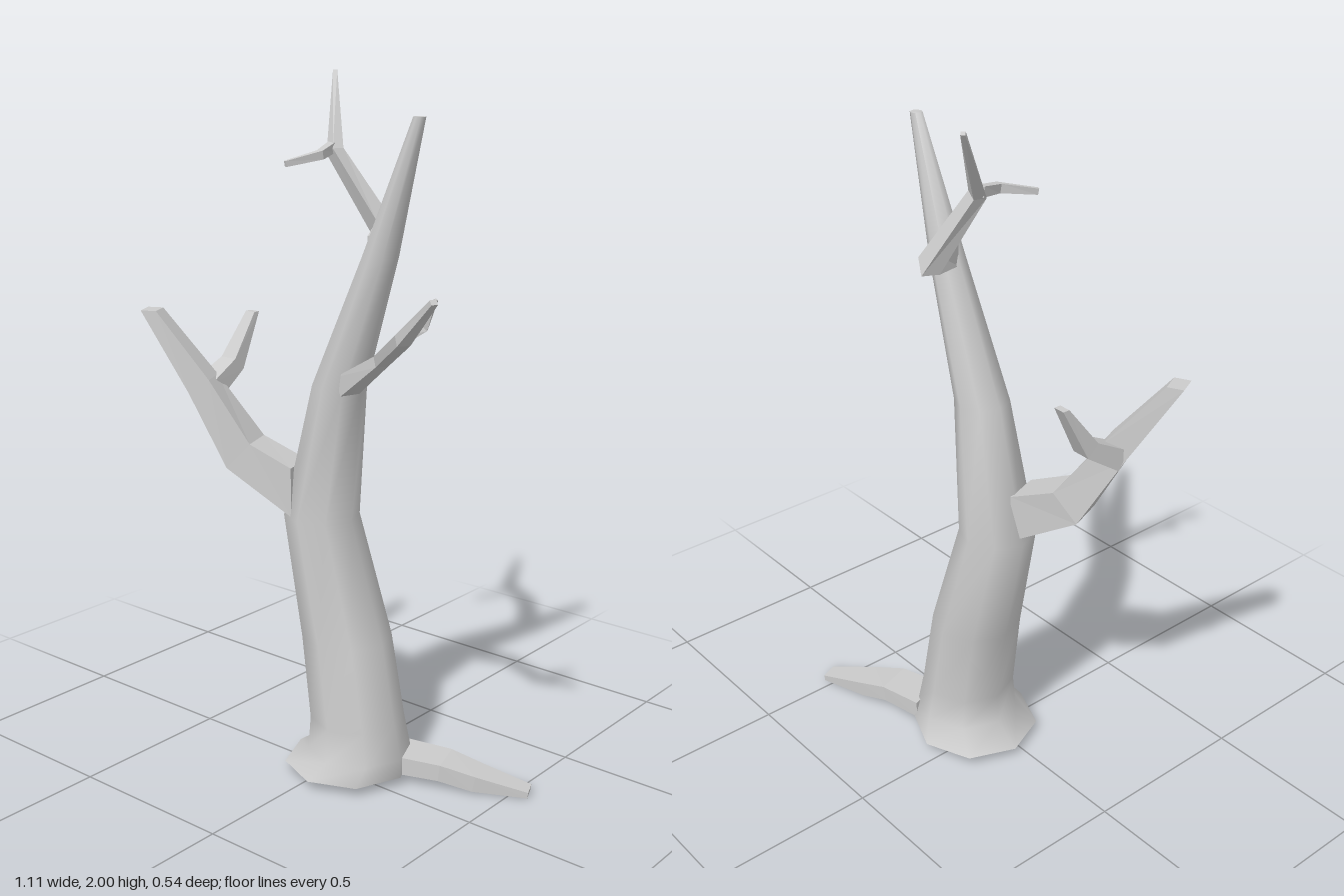
import * as THREE from 'three';
import { toCreasedNormals } from 'three/addons/utils/BufferGeometryUtils.js';

const bark = new THREE.MeshStandardMaterial({ color: 0xcccccc });
const barkFlat = new THREE.MeshStandardMaterial({ color: 0xcccccc, flatShading: true });

// Moves each ring of a capped unit prism to the place given by place(ringIndex, x, z).
function sweep(count, sides, start, place) {
  const geo = new THREE.CylinderGeometry(1, 1, 1, sides, count - 1, false, start);
  const pos = geo.attributes.position;
  for (let i = 0; i < pos.count; i++) {
    const ring = Math.round((pos.getY(i) + 0.5) * (count - 1));
    const p = place(ring, pos.getX(i), pos.getZ(i));
    pos.setXYZ(i, p.x, p.y, p.z);
  }
  return geo;
}

// Trunk: level octagonal rings, each [x, y, radius].
function makeTrunk(rings, z) {
  const geo = sweep(rings.length, 8, 0, (i, u, v) => {
    const [x, y, r] = rings[i];
    return new THREE.Vector3(x + u * r, y, z + v * r);
  });
  const mesh = new THREE.Mesh(toCreasedNormals(geo, 1.2), bark);
  mesh.name = 'trunk';
  return mesh;
}

// Limb: four-sided sections, each [x, y, z, halfWidth, halfHeight, pitch of the cut in degrees (optional)].
function makeLimb(name, stations) {
  const pts = stations.map(s => new THREE.Vector3(s[0], s[1], s[2]));
  const dir = i => pts[i + 1].clone().sub(pts[i]).normalize();
  const last = pts.length - 1;
  const frames = pts.map((p, i) => {
    const t = dir(Math.min(i, last - 1));
    if (i > 0 && i < last) t.add(dir(i - 1)).normalize();
    const side = new THREE.Vector3(-t.z, 0, t.x).normalize();
    const pitch = stations[i][5];
    if (pitch !== undefined) {
      const a = THREE.MathUtils.degToRad(pitch);
      t.set(side.z * Math.cos(a), Math.sin(a), -side.x * Math.cos(a));
    }
    return { side, up: side.clone().cross(t) };
  });
  const geo = sweep(pts.length, 4, Math.PI / 4, (i, u, v) =>
    pts[i].clone()
      .addScaledVector(frames[i].side, u * Math.SQRT2 * stations[i][3])
      .addScaledVector(frames[i].up, v * Math.SQRT2 * stations[i][4]));
  const mesh = new THREE.Mesh(geo.toNonIndexed(), barkFlat);
  mesh.name = name;
  return mesh;
}

export function createModel() {
  const tree = new THREE.Group();
  tree.name = 'bareTree';

  tree.add(makeTrunk([
    [0.04, 0.03, 0.19], [0.078, 0.085, 0.15], [0.07, 0.18, 0.137], [0.03, 0.42, 0.13],
    [-0.065, 0.77, 0.109], [0.0, 1.16, 0.077], [0.14, 1.53, 0.05], [0.263, 1.9, 0.017],
  ], -0.038));

  // Low right limb with its side shoot
  tree.add(makeLimb('lowerBranch', [
    [-0.12, 0.845, 0, 0.055, 0.072, 0], [-0.28, 0.935, 0.05, 0.055, 0.053],
    [-0.39, 1.13, 0.105, 0.042, 0.037], [-0.525, 1.34, 0.17, 0.03, 0.023, 90],
  ]));
  tree.add(makeLimb('lowerShoot', [
    [-0.395, 1.11, 0.08, 0.037, 0.03], [-0.392, 1.17, -0.02, 0.028, 0.024],
    [-0.392, 1.31, -0.108, 0.017, 0.01, 90],
  ]));

  // Thin left limb with its twig
  tree.add(makeLimb('middleBranch', [
    [0.05, 1.17, -0.01, 0.03, 0.028], [0.21, 1.27, 0.045, 0.018, 0.015],
    [0.395, 1.375, 0.195, 0.018, 0.015], [0.533, 1.495, 0.257, 0.009, 0.007],
  ]));
  tree.add(makeLimb('middleTwig', [
    [0.39, 1.375, 0.195, 0.011, 0.011], [0.428, 1.405, 0.15, 0.01, 0.01],
    [0.465, 1.48, 0.155, 0.004, 0.004],
  ]));

  // Crooked upper limb with its twig
  tree.add(makeLimb('upperBranch', [
    [0.125, 1.55, -0.05, 0.03, 0.033, 0], [0.02, 1.585, -0.195, 0.024, 0.026],
    [-0.09, 1.79, -0.125, 0.018, 0.017], [-0.205, 1.998, -0.263, 0.006, 0.005],
  ]));
  tree.add(makeLimb('upperTwig', [
    [-0.1, 1.8, -0.125, 0.012, 0.014], [-0.075, 1.785, -0.045, 0.011, 0.012],
    [-0.117, 1.765, 0.05, 0.006, 0.008],
  ]));

  // Exposed root running out along the ground
  tree.add(makeLimb('root', [
    [0.18, 0.055, -0.11, 0.062, 0.027, 0], [0.31, 0.055, -0.145, 0.056, 0.025],
    [0.4, 0.032, -0.18, 0.046, 0.024], [0.54, 0.011, -0.24, 0.027, 0.009],
  ]));
  return tree;
}
